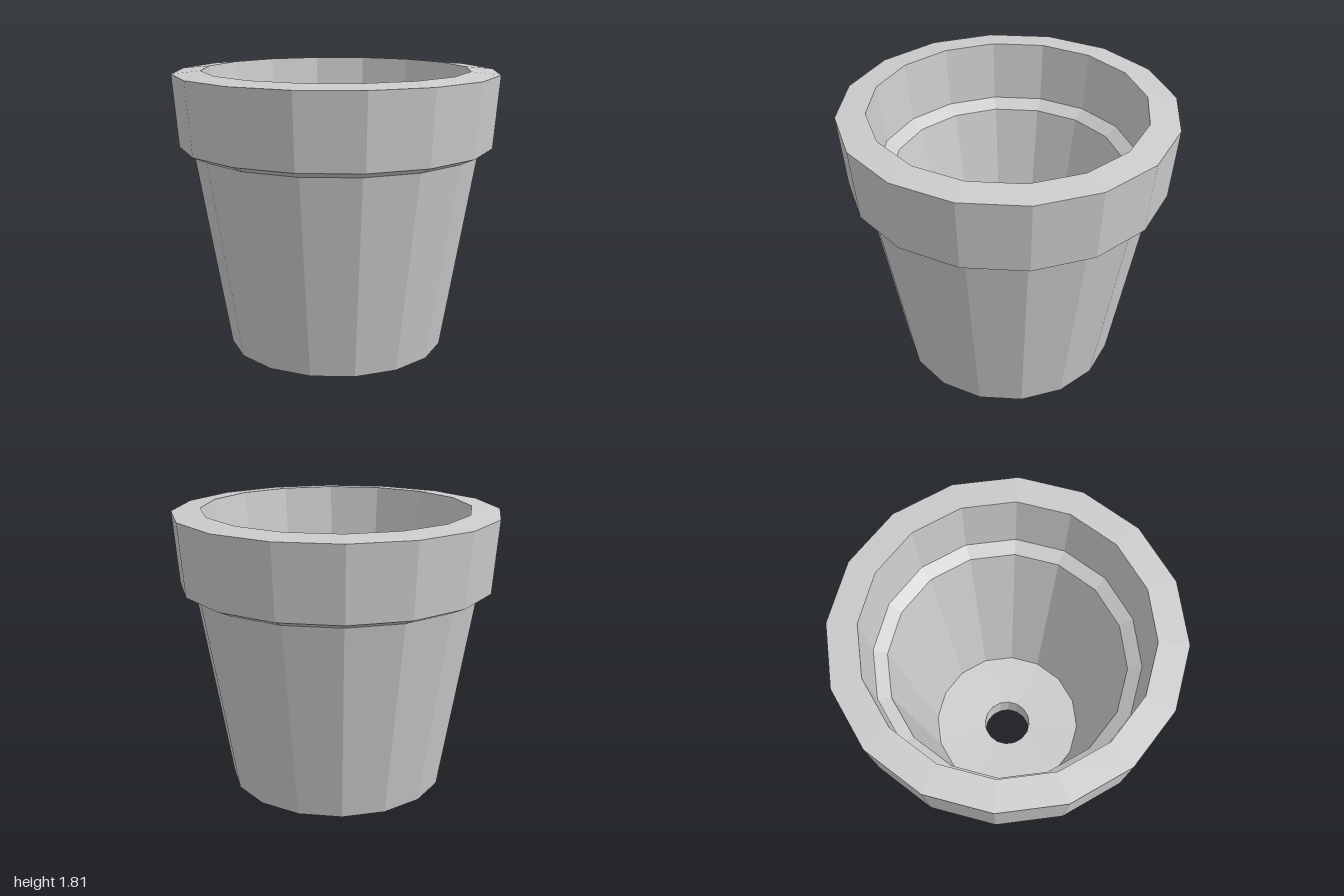
import * as THREE from 'three';

const SIDES = 16;

// Faceted ring swept from a profile of [radius, height] points
function ring(name, profile, material) {
  const points = profile.map(([r, y]) => new THREE.Vector2(r, y));
  const geometry = new THREE.LatheGeometry(points, SIDES, Math.PI / SIDES);
  const mesh = new THREE.Mesh(geometry, material);
  mesh.name = name;
  return mesh;
}

export function createModel() {
  const clay = new THREE.MeshStandardMaterial({ color: 0xcccccc, flatShading: true });
  clay.name = 'pale clay';

  // Profile corners shared by neighbouring parts
  const holeBottom = [0.158, 0];
  const base = [0.69, 0.035];
  const neck = [0.897, 1.3];
  const rimLow = [0.985, 1.34];
  const rimTop = [1.0196, 1.79];
  const lip = [0.84, 1.807];
  const ledgeOuter = [0.802, 1.43];
  const ledgeInner = [0.722, 1.38];
  const floorEdge = [0.5, 0.2];
  const holeTop = [0.158, 0.18];

  const pot = new THREE.Group();
  pot.name = 'flowerPot';
  pot.add(
    ring('underside', [holeBottom, base], clay),
    ring('outerWall', [base, neck], clay),
    ring('rim', [neck, rimLow, rimTop, lip, ledgeOuter], clay),
    ring('innerLedge', [ledgeOuter, ledgeInner], clay),
    ring('innerWall', [ledgeInner, floorEdge], clay),
    ring('floor', [floorEdge, holeTop], clay),
    ring('drainHole', [holeTop, holeBottom], clay)
  );
  return pot;
}
